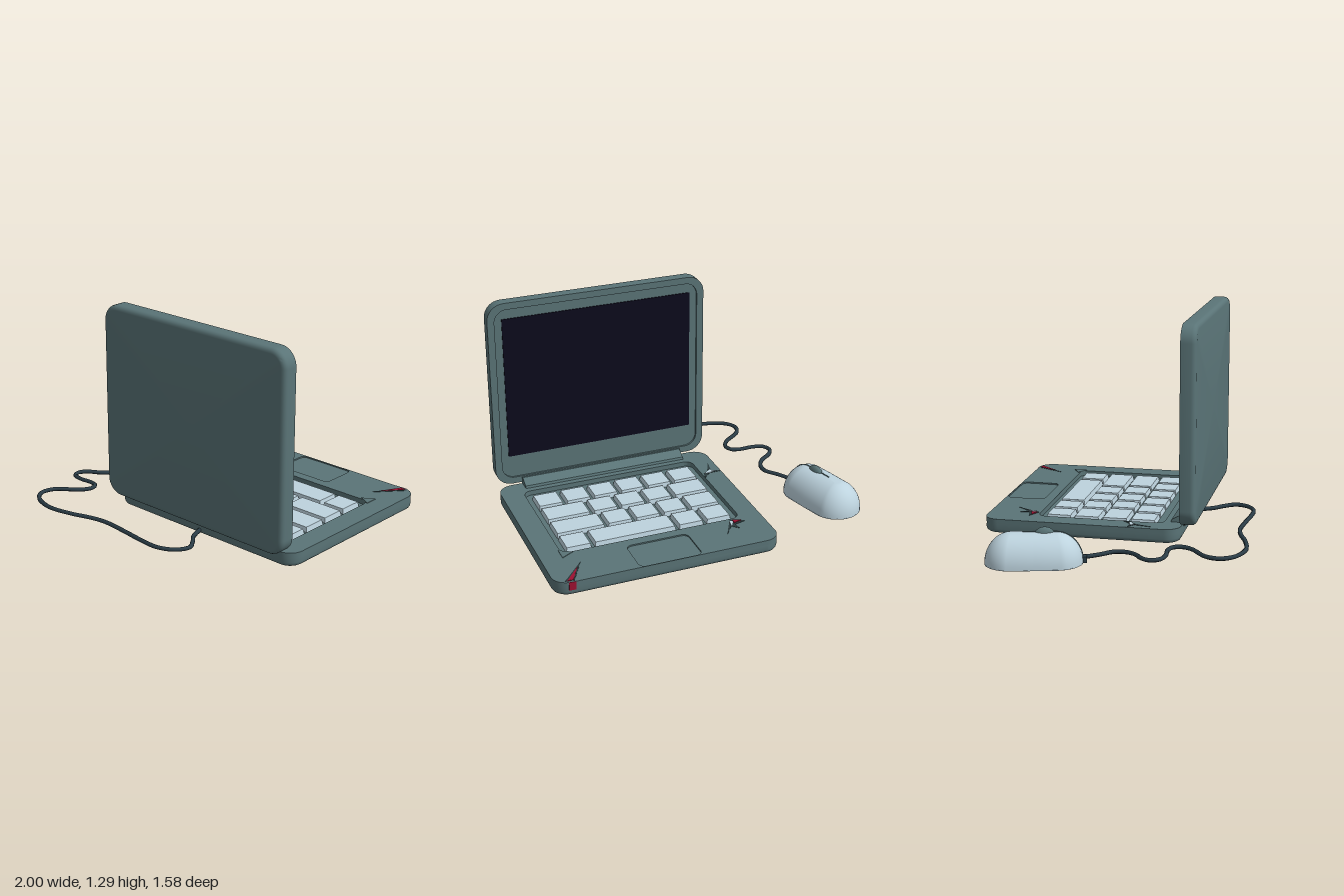
import * as THREE from 'three';
import { toCreasedNormals } from 'three/addons/utils/BufferGeometryUtils.js';

const mat = (name, color) => {
  const m = new THREE.MeshStandardMaterial({ color });
  m.name = name;
  return m;
};

// rounded rectangle in plan (x, z)
function roundRect(x0, z0, x1, z1, r, Type = THREE.Shape) {
  const s = new Type();
  s.moveTo(x0 + r, z0);
  s.lineTo(x1 - r, z0);
  s.absarc(x1 - r, z0 + r, r, -Math.PI / 2, 0);
  s.lineTo(x1, z1 - r);
  s.absarc(x1 - r, z1 - r, r, 0, Math.PI / 2);
  s.lineTo(x0 + r, z1);
  s.absarc(x0 + r, z1 - r, r, Math.PI / 2, Math.PI);
  s.lineTo(x0, z0 + r);
  s.absarc(x0 + r, z0 + r, r, Math.PI, Math.PI * 1.5);
  return s;
}

// closed slab with a rounded lower edge and a flat top
function tray(x0, z0, x1, z1, h, r, bevel) {
  const pos = [], idx = [], rings = [];
  for (let k = 0; k <= 4; k++) {
    const a = (k / 4) * Math.PI / 2;
    rings.push([bevel * (1 - Math.sin(a)), bevel * (1 - Math.cos(a))]);
  }
  rings.push([0, h]);
  let n = 0;
  for (const [i, y] of rings) {
    const pts = roundRect(x0 + i, z0 + i, x1 - i, z1 - i, r - i).getPoints(6);
    if (pts[0].distanceTo(pts[pts.length - 1]) < 1e-6) pts.pop();
    n = pts.length;
    pts.forEach(p => pos.push(p.x, y, p.y));
  }
  const last = (rings.length - 1) * n, c = rings.length * n;
  pos.push((x0 + x1) / 2, 0, (z0 + z1) / 2, (x0 + x1) / 2, h, (z0 + z1) / 2);
  for (let i = 0; i < n; i++) {
    const j = (i + 1) % n;
    for (let k = 0; k < last; k += n) {
      idx.push(k + i, k + n + i, k + j, k + j, k + n + i, k + n + j);
    }
    idx.push(c, i, j, c + 1, last + j, last + i);
  }
  const g = new THREE.BufferGeometry();
  g.setAttribute('position', new THREE.Float32BufferAttribute(pos, 3));
  g.setIndex(idx);
  g.computeVertexNormals();
  return toCreasedNormals(g, 0.6);
}

// plan shape given thickness downwards from y = 0
function plate(shape, depth) {
  const g = new THREE.ExtrudeGeometry(shape, { depth, bevelEnabled: false, curveSegments: 6 });
  return toCreasedNormals(g.rotateX(Math.PI / 2), 0.6);
}

export function createModel() {
  const body = mat('slate casing', 0x5a7477);
  const pale = mat('pale blue plastic', 0xbdd3de);
  const dark = mat('screen black', 0x0c0a1c);
  const cord = mat('cable blue grey', 0x2c3e48);
  const red = mat('red wire', 0x9c1030);
  const crack = mat('crack shadow', 0x2b3a3c);

  const model = new THREE.Group();
  const add = (parent, name, geo, m, x = 0, y = 0, z = 0) => {
    const mesh = new THREE.Mesh(geo, m);
    mesh.name = name;
    mesh.position.set(x, y, z);
    parent.add(mesh);
    return mesh;
  };
  const group = (name, x = 0, y = 0, z = 0) => {
    const g = new THREE.Group();
    g.name = name;
    g.position.set(x, y, z);
    model.add(g);
    return g;
  };

  // base with keyboard well and touchpad recess
  const base = group('base');
  add(base, 'baseTray', tray(-0.335, -0.79, 1, 0.37, 0.055, 0.09, 0.025), body, 0, 0.035, 0);
  const deck = roundRect(-0.335, -0.79, 1, 0.37, 0.09);
  deck.holes.push(roundRect(-0.21, -0.49, 0.87, 0.26, 0.05, THREE.Path));
  deck.holes.push(roundRect(0.145, -0.785, 0.515, -0.55, 0.035, THREE.Path));
  add(base, 'deck', plate(deck, 0.03), body, 0, 0.12, 0);
  add(base, 'touchpad', plate(roundRect(0.145, -0.785, 0.515, -0.55, 0.035), 0.02), body, 0, 0.112, 0);

  // keys: left edges of each row, closed by the shared right edge
  const keys = group('keyboard');
  const rows = [
    [-0.17, 0, 0.17, 0.68],
    [-0.17, 0.03, 0.2, 0.37, 0.54],
    [-0.17, 0.06, 0.23, 0.4, 0.57],
    [-0.17, 0, 0.17, 0.34, 0.51, 0.68],
  ];
  rows.forEach((row, r) => row.forEach((x0, i) => {
    const x1 = (row[i + 1] ?? 0.85) - 0.02, w = x1 - x0;
    const g = new THREE.BoxGeometry(w, 0.03, 0.15);
    const p = g.attributes.position;
    for (let k = 0; k < p.count; k++) {
      if (p.getY(k) > 0) {
        p.setX(k, p.getX(k) - Math.sign(p.getX(k)) * 0.006);
        p.setZ(k, p.getZ(k) - Math.sign(p.getZ(k)) * 0.006);
      }
    }
    g.computeVertexNormals();
    add(keys, 'key', g, pale, (x0 + x1) / 2, 0.104, -0.375 + r * 0.168);
  }));

  // hinge bar: rounded wedge in section
  const bar = new THREE.Shape();
  bar.moveTo(0.29, 0.1);
  bar.lineTo(0.38, 0.1);
  bar.lineTo(0.38, 0.16);
  bar.lineTo(0.355, 0.165);
  bar.lineTo(0.30, 0.135);
  const barGeo = new THREE.ExtrudeGeometry(bar, { depth: 1.015, bevelEnabled: false });
  barGeo.rotateY(-Math.PI / 2);
  add(model, 'hinge', barGeo, body, 0.84, 0, 0);

  // lid, standing upright with the screen facing back
  const lid = group('lid', 0.3325, 0.71, 0.46);
  lid.rotation.x = -Math.PI / 2;
  add(lid, 'lidShell', tray(-0.667, -0.58, 0.667, 0.58, 0.078, 0.1, 0.028), body);
  const rim = roundRect(-0.667, -0.58, 0.667, 0.58, 0.1);
  rim.holes.push(roundRect(-0.625, -0.54, 0.625, 0.54, 0.075, THREE.Path));
  add(lid, 'lidRim', plate(rim, 0.012), body, 0, 0.09, 0);
  add(lid, 'screen', new THREE.BoxGeometry(1.16, 0.006, 0.88), dark, 0, 0.08, 0.04);

  // mouse: half sphere stretched into a capsule dome
  const mouse = group('mouse', -0.815, 0.037, -0.345);
  mouse.rotation.y = 0.26;
  const dome = new THREE.SphereGeometry(0.15, 32, 12, 0, Math.PI * 2, 0, Math.PI / 2);
  const dp = dome.attributes.position;
  for (let i = 0; i < dp.count; i++) {
    const z = dp.getZ(i);
    dp.setY(i, dp.getY(i) * 1.15);
    if (Math.abs(z) > 1e-5) dp.setZ(i, z + Math.sign(z) * 0.12);
  }
  dome.computeVertexNormals();
  add(mouse, 'mouseShell', dome, pale);
  add(mouse, 'mouseBottom', plate(roundRect(-0.15, -0.27, 0.15, 0.27, 0.149), 0.003), pale, 0, 0.001, 0);
  const groove = [[0.173, -0.06], [0.173, 0.12]];
  for (let a = 0.2; a < 1.6; a += 0.2) groove.push([0.173 * Math.cos(a), 0.12 + 0.15 * Math.sin(a)]);
  const seam = new THREE.CatmullRomCurve3(groove.map(([y, z]) => new THREE.Vector3(0, y, z)));
  add(mouse, 'buttonSeam', new THREE.TubeGeometry(seam, 24, 0.004, 5), body);
  add(mouse, 'scrollWheel', new THREE.SphereGeometry(1, 16, 12), body, 0, 0.158, 0.06).scale.set(0.026, 0.042, 0.055);
  add(mouse, 'cablePlug', new THREE.BoxGeometry(0.05, 0.035, 0.035), cord, 0, 0.016, 0.272);

  // cable from mouse to the back of the base
  const path = [
    [-0.735, -0.08], [-0.68, 0], [-0.63, 0.06], [-0.63, 0.13], [-0.67, 0.19], [-0.74, 0.24],
    [-0.77, 0.29], [-0.75, 0.34], [-0.68, 0.36], [-0.6, 0.355], [-0.54, 0.37], [-0.52, 0.42],
    [-0.55, 0.48], [-0.67, 0.58], [-0.69, 0.66], [-0.64, 0.73], [-0.5, 0.775], [-0.34, 0.75],
    [-0.22, 0.71], [-0.12, 0.69], [0.05, 0.7], [0.2, 0.715], [0.32, 0.715], [0.41, 0.67],
    [0.45, 0.59], [0.41, 0.52], [0.36, 0.46], [0.32, 0.36],
  ];
  const curve = new THREE.CatmullRomCurve3(path.map(([x, z], i) =>
    new THREE.Vector3(x, 0.06 + 0.025 * Math.sin(Math.PI * i / 27), z)));
  add(model, 'cable', new THREE.TubeGeometry(curve, 90, 0.013, 6), cord);

  // cracks, torn flakes and wire stubs
  const damage = group('damage');
  const shard = (name, m, y, pts) =>
    add(damage, name, plate(new THREE.Shape(pts.map(p => new THREE.Vector2(...p))), 0.004), m, 0, y, 0);
  shard('crack', crack, 0.122, [[-0.22, -0.54], [-0.15, -0.56], [-0.16, -0.61], [-0.12, -0.57], [-0.06, -0.65], [-0.14, -0.5]]);
  shard('redTear', red, 0.126, [[-0.2, -0.53], [-0.15, -0.545], [-0.15, -0.51]]);
  shard('flake', pale, 0.126, [[-0.15, -0.53], [-0.12, -0.58], [-0.13, -0.52]]);
  shard('crack', crack, 0.122, [[0.89, -0.78], [0.94, -0.77], [0.8, -0.61]]);
  shard('redTear', red, 0.124, [[0.895, -0.775], [0.93, -0.775], [0.835, -0.66]]);
  shard('crack', body, 0.124, [[0.81, -0.5], [0.88, -0.54], [0.88, -0.46]]);
  shard('crack', crack, 0.122, [[-0.33, 0.07], [-0.26, 0.07], [-0.21, 0.02], [-0.22, 0.07], [-0.26, 0.1], [-0.3, 0.2], [-0.28, 0.1]]);
  shard('flake', pale, 0.125, [[-0.3, 0.08], [-0.25, 0.065], [-0.23, 0.07], [-0.27, 0.1]]);
  add(damage, 'edgeTear', new THREE.BoxGeometry(0.04, 0.05, 0.02), red, 0.905, 0.095, -0.782);
  const stub = (m, x, z, h, tx, tz) =>
    add(damage, 'wireStub', new THREE.CylinderGeometry(0.009, 0.009, h, 6), m, x, 0.003 + h / 2, z).rotation.set(tx, 0, tz);
  stub(red, -0.165, -0.5, 0.045, -0.2, 0.1);
  stub(body, -0.195, -0.565, 0.045, 0.3, -0.4);
  stub(body, 0.91, -0.5, 0.035, 0, 0.4);
  return model;
}
